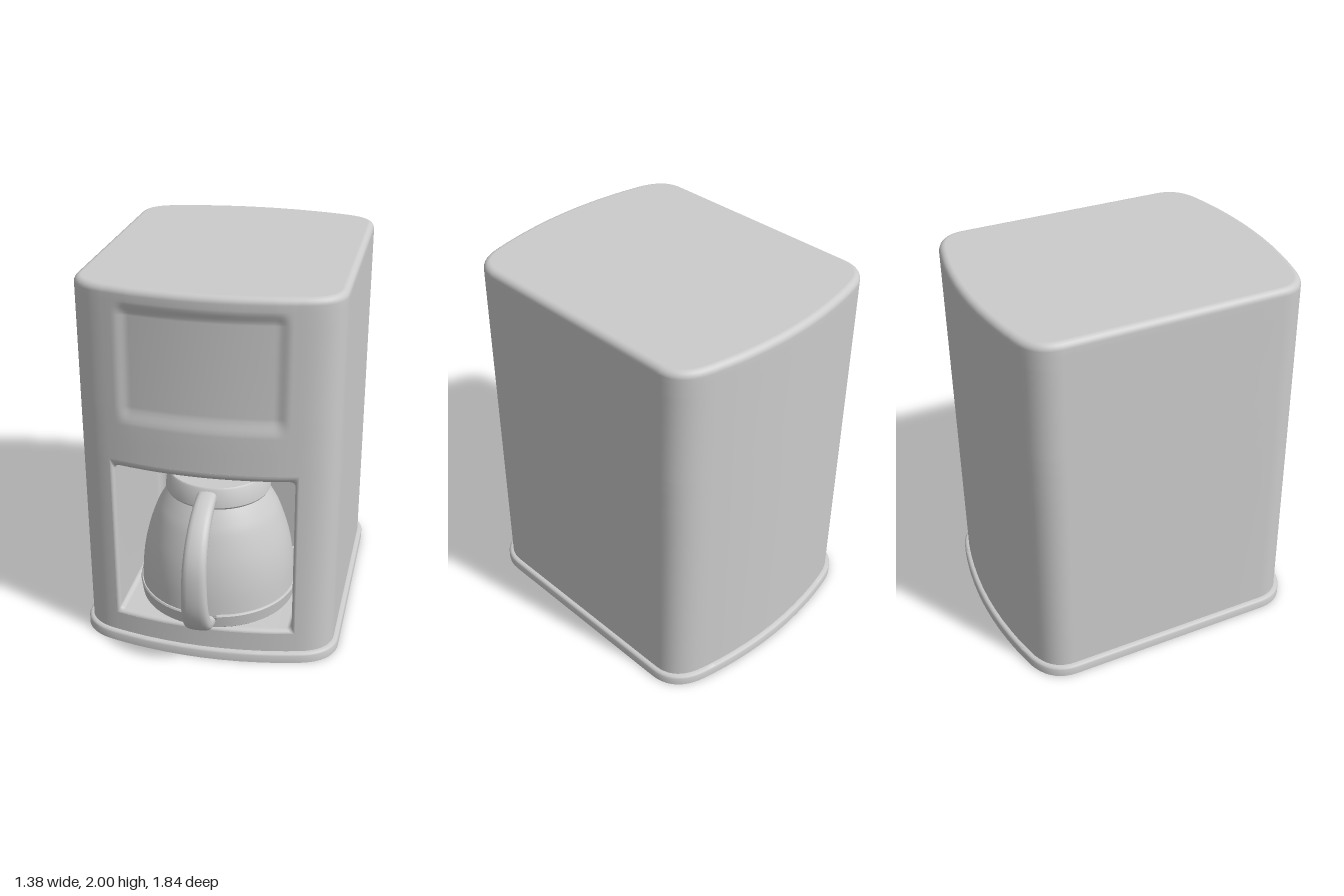
import * as THREE from 'three';
import { toCreasedNormals } from 'three/addons/utils/BufferGeometryUtils.js';

const V = (x, y, z) => new THREE.Vector3(x, y, z);
const MID_Z = -0.0875; // middle of the housing, front to back
const frontZ = (x) => 0.72 - 0.24 * x * x; // bowed front face

// Skin closed rings of points; optional end caps and skipped cells
function loft(rings, { capStart = false, capEnd = false, skip = () => false } = {}) {
  const n = rings[0].length, pos = [], idx = [];
  rings.forEach((r) => r.forEach((p) => pos.push(p.x, p.y, p.z)));
  for (let j = 0; j < rings.length - 1; j++) {
    for (let i = 0; i < n; i++) {
      const k = (i + 1) % n;
      if (skip(rings[j][i], rings[j][k], rings[j + 1][i])) continue;
      const a = j * n + i, b = j * n + k;
      idx.push(a, b, b + n, a, b + n, a + n);
    }
  }
  const cap = (j, flip) => {
    const c = pos.length / 3, m = V(0, 0, 0);
    rings[j].forEach((p) => m.addScaledVector(p, 1 / n));
    pos.push(m.x, m.y, m.z);
    for (let i = 0; i < n; i++) {
      const a = j * n + i, b = j * n + ((i + 1) % n);
      idx.push(c, flip ? b : a, flip ? a : b);
    }
  };
  if (capStart) cap(0, true);
  if (capEnd) cap(rings.length - 1, false);
  const g = new THREE.BufferGeometry();
  g.setAttribute('position', new THREE.Float32BufferAttribute(pos, 3));
  g.setIndex(idx);
  g.computeVertexNormals();
  return g;
}

// Plan outline: bowed front and back, straight sides, rounded corners
function planOutline() {
  const q = [0, 0.1, 0.2, 0.3, 0.35, 0.365, 0.38, 0.395, 0.41, 0.425, 0.44, 0.48]
    .map((x) => [x, frontZ(x)]);
  const corner = new THREE.CubicBezierCurve(
    new THREE.Vector2(0.5, 0.66), new THREE.Vector2(0.6, 0.636),
    new THREE.Vector2(0.665, 0.58), new THREE.Vector2(0.665, 0.48));
  corner.getPoints(10).forEach((p) => q.push([p.x, p.y]));
  q.push([0.665, 0.3]);
  const back = ([x, z]) => [x, 2 * MID_Z - z];
  const right = [...q, ...q.map(back).reverse()];
  const left = right.slice(1, -1).reverse().map(([x, z]) => [-x, z]);
  return [...right, ...left];
}
const PLAN = planOutline();

// Horizontal ring at height y, moved outward by off
function planRing(y, off) {
  const n = PLAN.length;
  return PLAN.map(([x, z], i) => {
    const [ax, az] = PLAN[(i + n - 1) % n], [bx, bz] = PLAN[(i + 1) % n];
    const l = Math.hypot(bx - ax, bz - az);
    return V(x - ((bz - az) / l) * off, y, z + ((bx - ax) / l) * off);
  });
}

// Housing wall with a soft recessed panel and a rectangular opening
const OPEN = { w: 0.48, y0: 0.165, y1: 1.09 };
function housingGeometry() {
  const ys = [0.05, 0.165, 1.09, 1.2, 1.29, 1.31, 1.33, 1.35, 1.37, 1.39, 1.6,
    1.86, 1.875, 1.89, 1.905, 1.92, 1.935];
  const rings = ys.map((y) => planRing(y, 0));
  for (let k = 0; k <= 6; k++) {
    const a = (k / 6) * Math.PI / 2;
    rings.push(planRing(1.965 + 0.035 * Math.sin(a), -0.035 * (1 - Math.cos(a))));
  }
  const { smoothstep } = THREE.MathUtils;
  rings.forEach((r) => r.forEach((p) => {
    if (p.z < 0.6) return;
    p.z -= 0.02 * (1 - smoothstep(Math.abs(p.x), 0.36, 0.43))
      * smoothstep(p.y, 1.29, 1.39) * (1 - smoothstep(p.y, 1.86, 1.935));
  }));
  const e = 1e-4;
  const skip = (a, b, up) => a.z > 0.6 && b.z > 0.6
    && Math.max(Math.abs(a.x), Math.abs(b.x)) < OPEN.w + e
    && a.y > OPEN.y0 - e && up.y < OPEN.y1 + e;
  return loft(rings, { capEnd: true, skip });
}

// Upright rounded rectangle, anticlockwise from the front
function openingRing(w, y0, y1, rc, zAt) {
  const pts = [];
  const corners = [[w, y0, -1], [w, y1, 0], [-w, y1, 1], [-w, y0, 2]];
  corners.forEach(([cx, cy, quarter], c) => {
    const mx = cx - Math.sign(cx) * rc, my = cy + (c === 0 || c === 3 ? rc : -rc);
    for (let k = 0; k <= 4; k++) {
      const a = (quarter + k / 4) * Math.PI / 2;
      pts.push([mx + rc * Math.cos(a), my + rc * Math.sin(a)]);
    }
    // extra points along top and bottom follow the bowed front
    if (c === 1 || c === 3) {
      const s = c === 1 ? 1 : -1;
      for (let k = 1; k < 12; k++) pts.push([s * (w - rc) * (1 - k / 6), cy]);
    }
  });
  return pts.map(([x, y]) => V(x, y, zAt(x)));
}

// Rounded lip, walls and back of the brewing bay
function bayGeometry() {
  const rings = [];
  for (let k = 0; k <= 6; k++) {
    const a = (k / 6) * Math.PI / 2, s = Math.sin(a), d = 0.03 * (1 - Math.cos(a));
    rings.push(openingRing(OPEN.w - 0.02 * s, OPEN.y0 + 0.02 * s, OPEN.y1 - 0.04 * s,
      0.025 * s, (x) => frontZ(x) - d));
  }
  rings.push(openingRing(0.46, 0.185, 1.05, 0.025, () => 0.5));
  for (let k = 0; k <= 5; k++) {
    const a = (k / 5) * Math.PI / 2, inset = 0.06 * (1 - Math.cos(a));
    rings.push(openingRing(0.46 - inset, 0.185, 1.05 - inset, 0.025,
      () => -0.1 - 0.06 * Math.sin(a)));
  }
  return loft(rings, { capEnd: true });
}

// Handle: flattened oval swept along a curve, widening downward
function handleGeometry() {
  const path = new THREE.CatmullRomCurve3([
    [0.885, 0.54], [0.855, 0.66], [0.775, 0.78], [0.655, 0.86], [0.5, 0.883],
    [0.36, 0.865], [0.262, 0.805], [0.225, 0.7],
  ].map(([y, z]) => V(0, y, z)));
  const rings = [];
  for (let j = 0; j <= 40; j++) {
    const t = j / 40, c = path.getPointAt(t), d = path.getTangentAt(t);
    const w = 0.05 + 0.025 * t, ring = [];
    for (let i = 0; i < 20; i++) {
      const a = (i / 20) * Math.PI * 2;
      const u = w * Math.sign(Math.cos(a)) * Math.abs(Math.cos(a)) ** 0.7;
      const v = 0.037 * Math.sign(Math.sin(a)) * Math.abs(Math.sin(a)) ** 0.7;
      ring.push(V(u, c.y + d.z * v, c.z - d.y * v));
    }
    rings.push(ring);
  }
  return loft(rings, { capStart: true, capEnd: true });
}

export function createModel() {
  const model = new THREE.Group();
  const mat = new THREE.MeshStandardMaterial({ color: 0xcccccc });
  const thin = new THREE.MeshStandardMaterial({ color: 0xcccccc, side: THREE.DoubleSide });
  const add = (parent, name, geo, m = mat) => {
    const mesh = new THREE.Mesh(geo, m);
    mesh.name = name;
    parent.add(mesh);
    return mesh;
  };

  // Base plate
  const plate = [[0, 0.025], [0.042, 0.025], [0.051, 0.021], [0.056, 0.012], [0.057, -0.01]]
    .map(([y, off]) => planRing(y, off));
  add(model, 'basePlate', toCreasedNormals(loft(plate, { capStart: true, capEnd: true }), 0.9));

  // Housing
  add(model, 'housing', housingGeometry());
  add(model, 'brewingBay', bayGeometry());

  // Carafe
  const carafe = new THREE.Group();
  carafe.name = 'carafe';
  model.add(carafe);
  const turned = (name, pts, creased = true) => {
    const g = new THREE.LatheGeometry(pts.map(([r, y]) => new THREE.Vector2(r, y)), 64);
    const mesh = add(carafe, name, creased ? toCreasedNormals(g, 0.6) : g, thin);
    mesh.position.z = 0.32;
  };
  const glass = new THREE.SplineCurve([[0.415, 0.25], [0.405, 0.4], [0.38, 0.54],
    [0.335, 0.68], [0.295, 0.76], [0.25, 0.83]].map(([r, y]) => new THREE.Vector2(r, y)))
    .getPoints(24).map((p) => [p.x, p.y]);
  turned('carafeGlass', glass, false);
  turned('carafeFoot', [[0, 0.187], [0.405, 0.187], [0.415, 0.195], [0.425, 0.262],
    [0.42, 0.27], [0.41, 0.27]]);
  turned('carafeCollar', [[0.24, 0.815], [0.272, 0.815], [0.278, 0.825], [0.265, 0.922],
    [0.258, 0.93], [0.24, 0.93], [0.23, 0.905], [0, 0.905]]);

  // Raised strip on the glass behind the handle
  const half = 0.19;
  const strip = new THREE.LatheGeometry(
    [[0.4, 0.24], ...glass.map(([r, y]) => [r + 0.01, y])].map(([r, y]) => new THREE.Vector2(r, y)),
    10, -half, half * 2);
  add(carafe, 'handleStrip', strip, thin).position.z = 0.32;
  add(carafe, 'handle', handleGeometry());

  return model;
}
